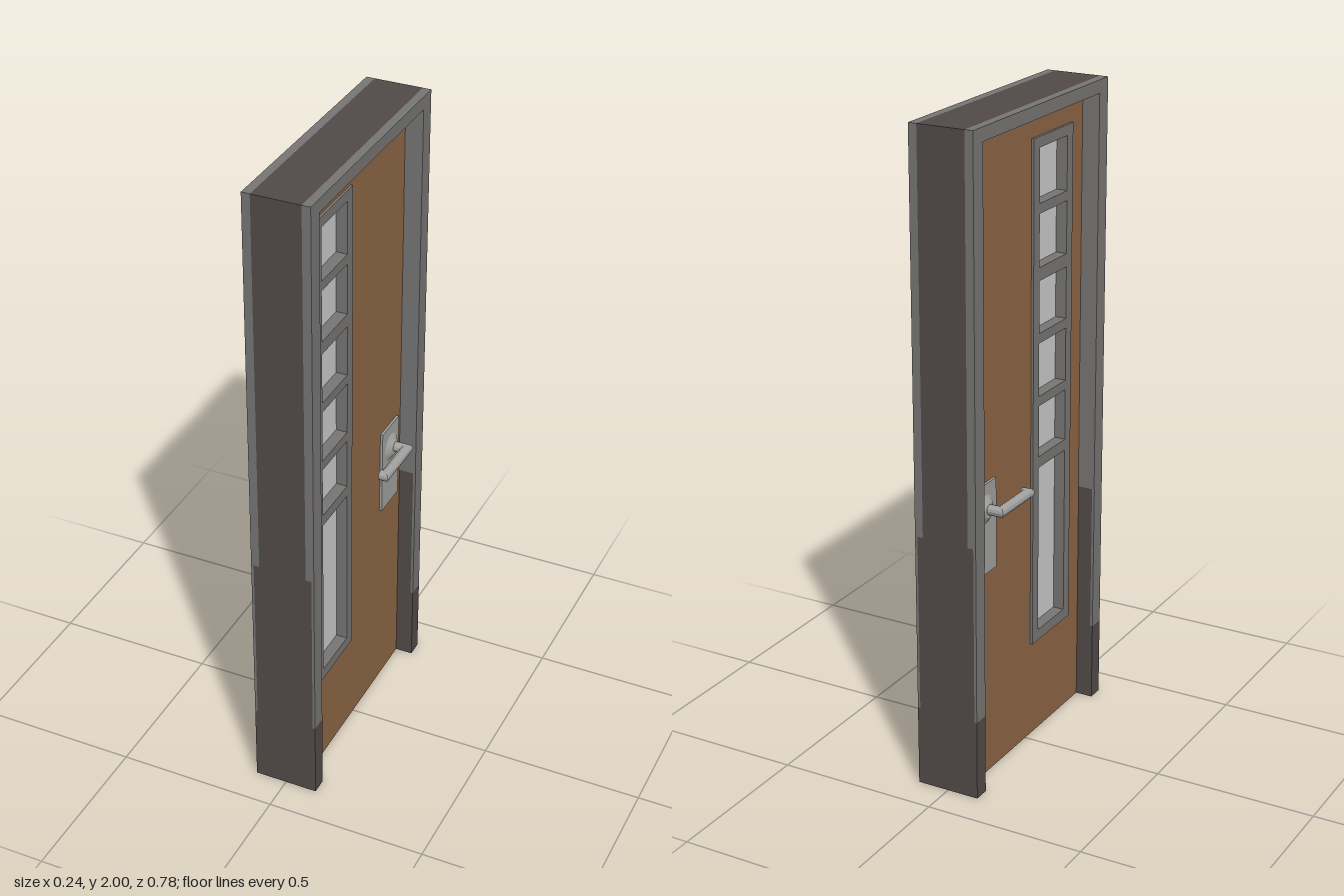
import * as THREE from 'three';

const mat = (name, color) => {
  const m = new THREE.MeshStandardMaterial({ color });
  m.name = name;
  return m;
};

export function createModel() {
  const door = new THREE.Group();
  door.name = 'door';
  const dark = mat('darkFrame', 0x524a49);
  const grey = mat('greyTrim', 0x777675);
  const wood = mat('wood', 0x8d6646);
  const glass = mat('glass', 0xcacaca);
  const metal = mat('metal', 0xa0a19e);
  metal.side = THREE.DoubleSide;

  const add = (name, geometry, material, parent = door) => {
    const m = new THREE.Mesh(geometry, material);
    m.name = name;
    parent.add(m);
    return m;
  };
  // Box given by its limits on each axis
  const box = (name, material, x0, x1, y0, y1, z0, z1, parent) => {
    const g = new THREE.BoxGeometry(Math.abs(x1 - x0), y1 - y0, Math.abs(z1 - z0));
    g.translate((x0 + x1) / 2, (y0 + y1) / 2, (z0 + z1) / 2);
    return add(name, g, material, parent);
  };
  // Upright panel with rectangular openings, each rectangle as [z0, z1, y0, y1]
  const panel = (name, material, half, outer, holes) => {
    const trace = (p, [z0, z1, y0, y1]) => {
      p.moveTo(-z0, y0);
      p.lineTo(-z0, y1);
      p.lineTo(-z1, y1);
      p.lineTo(-z1, y0);
      p.closePath();
      return p;
    };
    const shape = trace(new THREE.Shape(), outer);
    holes.forEach((h) => shape.holes.push(trace(new THREE.Path(), h)));
    const g = new THREE.ExtrudeGeometry(shape, { depth: half * 2, bevelEnabled: false });
    g.translate(0, 0, -half);
    g.rotateY(Math.PI / 2);
    return add(name, g, material);
  };

  const W = 0.39, IN = 0.34, TOP = 2, HEAD = 1.96;

  // Side jambs: dark core, grey casing layers, grey upper lining
  for (const s of [-1, 1]) {
    box('jambCore', dark, -0.074, 0.074, 0, TOP, s * IN, s * W);
    for (const f of [-1, 1]) {
      const a = f * 0.074, b = f * 0.092, c = f * 0.1;
      box('jambEdgeLower', dark, a, b, 0, 0.8, s * IN, s * W);
      box('jambEdgeUpper', grey, a, b, 0.8, TOP, s * IN, s * W);
      box('casingFoot', dark, b, c, 0, 0.25, s * IN, s * W);
      box('casing', grey, b, c, 0.25, TOP, s * IN, s * W);
      box('jambLining', grey, f * 0.045, c, 0.72, HEAD, s * (IN - 0.002), s * IN);
    }
  }
  // Head of the frame
  box('headCore', dark, -0.074, 0.074, HEAD, TOP, -IN, IN);
  for (const f of [-1, 1]) box('headCasing', grey, f * 0.074, f * 0.1, HEAD, TOP, -IN, IN);

  // Leaf, window frame and glass
  panel('leaf', wood, 0.045, [-IN, IN, 0, HEAD], [[0.035, 0.26, 0.315, 1.88]]);
  const panes = [[0.345, 0.88], [0.915, 1.075], [1.105, 1.27], [1.3, 1.46], [1.5, 1.66], [1.69, 1.853]];
  panel('windowFrame', grey, 0.053, [0.03, 0.265, 0.31, 1.885],
    panes.map(([a, b]) => [0.065, 0.23, a, b]));
  panes.forEach(([a, b]) => box('windowPane', glass, -0.018, 0.018, a, b, 0.065, 0.23));

  // Lever: a round bar swept along a mitred path
  const leverGeometry = (f) => {
    const path = [[0.045, -0.253], [0.104, -0.253], [0.104, -0.096], [0.088, -0.096]]
      .map(([x, z]) => new THREE.Vector2(x, z));
    const N = 12, r = 0.016, pos = [], idx = [];
    path.forEach((p, i) => {
      const d0 = p.clone().sub(path[Math.max(i - 1, 0)]).normalize();
      const d1 = path[Math.min(i + 1, path.length - 1)].clone().sub(p).normalize();
      const d = d0.clone().add(d1).normalize();
      const stretch = 1 / Math.max(d.dot(i ? d0 : d1), 0.5);
      for (let k = 0; k < N; k++) {
        const t = (k / N) * Math.PI * 2, side = r * Math.cos(t) * stretch;
        pos.push(f * (p.x + d.y * side), 0.866 + r * Math.sin(t), p.y - d.x * side);
      }
    });
    const face = (a, b, c) => (f > 0 ? idx.push(a, b, c) : idx.push(a, c, b));
    for (let i = 0; i < path.length - 1; i++) {
      for (let k = 0; k < N; k++) {
        const a = i * N + k, b = i * N + ((k + 1) % N);
        face(a, a + N, b);
        face(b, a + N, b + N);
      }
    }
    const e = (path.length - 1) * N;
    for (let k = 1; k < N - 1; k++) face(e, e + k + 1, e + k);
    const g = new THREE.BufferGeometry();
    g.setAttribute('position', new THREE.Float32BufferAttribute(pos, 3));
    g.setIndex(idx);
    const flat = g.toNonIndexed();
    flat.computeVertexNormals();
    return flat;
  };

  // Handles on both faces
  for (const f of [-1, 1]) {
    const handle = new THREE.Group();
    handle.name = f > 0 ? 'leftHandle' : 'rightHandle';
    door.add(handle);
    box('backplate', metal, f * 0.045, f * 0.053, 0.66, 0.94, -0.31, -0.19, handle);
    const rose = new THREE.CylinderGeometry(0.022, 0.045, 0.014, 20);
    rose.rotateZ(-f * Math.PI / 2);
    rose.translate(f * 0.06, 0.862, -0.253);
    add('rosette', rose, metal, handle);
    add('lever', leverGeometry(f), metal, handle);
  }
  return door;
}
